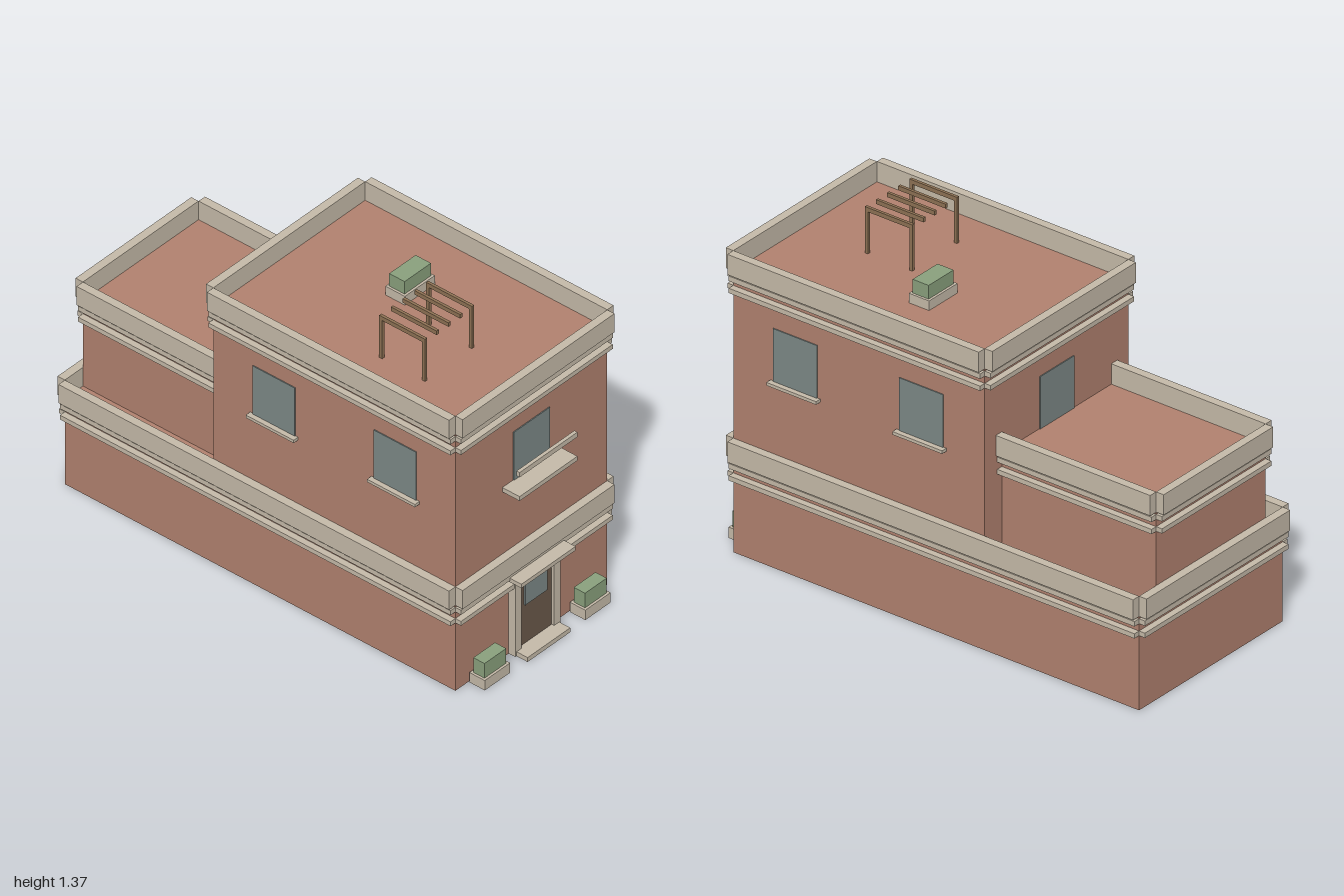
import * as THREE from 'three';

const mat = (color) => new THREE.MeshStandardMaterial({ color, flatShading: true });
const wall = mat(0xb38370);
const trim = mat(0xc7bcaa);
const glass = mat(0x7e8a88);
const doorWood = mat(0x6b5a4b);
const wood = mat(0x8f7355);
const leaf = mat(0x8ba27e);

// Box given by its limits along each axis
function box(parent, name, material, [x0, x1], [y0, y1], [z0, z1]) {
  const mesh = new THREE.Mesh(new THREE.BoxGeometry(x1 - x0, y1 - y0, z1 - z0), material);
  mesh.position.set((x0 + x1) / 2, (y0 + y1) / 2, (z0 + z1) / 2);
  mesh.name = name;
  parent.add(mesh);
  return mesh;
}

// Strips set against the outside of a block, leaving a notch at every corner
function ring(parent, name, hw, [z0, z1], ys, out, hasFront) {
  const g = new THREE.Group();
  g.name = name;
  box(g, name + 'Left', trim, [hw, hw + out], ys, [z0, z1]);
  box(g, name + 'Right', trim, [-hw - out, -hw], ys, [z0, z1]);
  box(g, name + 'Back', trim, [-hw, hw], ys, [z0 - out, z0]);
  if (hasFront) box(g, name + 'Front', trim, [-hw, hw], ys, [z1, z1 + out]);
  parent.add(g);
}

// Wall block with two cornice bands and a parapet round its flat roof
function storey(parent, name, hw, bottom, top, zs, hasFront = true) {
  const g = new THREE.Group();
  g.name = name;
  box(g, 'walls', wall, [-hw, hw], [bottom, top], zs);
  ring(g, 'lowerBand', hw, zs, [top - 0.08, top - 0.06], 0.027, hasFront);
  ring(g, 'upperBand', hw, zs, [top - 0.03, top - 0.009], 0.027, hasFront);
  ring(g, 'parapet', hw, zs, [top, top + 0.085], 0.035, hasFront);
  parent.add(g);
}

// Planter trough with a clipped hedge
function planter(parent, name, [x0, x1], y, [z0, z1], baseHeight, height) {
  const g = new THREE.Group();
  g.name = name;
  box(g, 'trough', trim, [x0, x1], [y, y + baseHeight], [z0, z1]);
  box(g, 'hedge', leaf, [x0 + 0.01, x1 - 0.01], [y + baseHeight, y + height], [z0 + 0.01, z1 - 0.01]);
  parent.add(g);
}

export function createModel() {
  const model = new THREE.Group();
  model.name = 'house';
  const front = 0.915, back = -0.965, mid = -0.25;

  // Three stepped blocks
  storey(model, 'groundFloor', 0.42, 0, 0.391, [back, front]);
  storey(model, 'rearTerrace', 0.32, 0.391, 0.782, [back, mid], false);
  storey(model, 'upperFloors', 0.42, 0.391, 1.173, [mid, front]);

  // Side windows with sills
  for (const s of [-1, 1]) {
    for (const z of [0.627, 0.043]) {
      const span = (a, b) => (s > 0 ? [a, b] : [-b, -a]);
      box(model, 'sideWindow', glass, span(0.415, 0.424), [0.78, 1], [z - 0.102, z + 0.102]);
      box(model, 'sideSill', trim, span(0.42, 0.445), [0.767, 0.78], [z - 0.115, z + 0.115]);
    }
  }

  // Front and back windows, balcony ledge and rail
  box(model, 'frontWindow', glass, [-0.1, 0.1], [0.78, 1], [front - 0.005, front + 0.004]);
  box(model, 'backWindow', glass, [-0.1, 0.1], [0.782, 1], [mid - 0.004, mid + 0.005]);
  box(model, 'balconyLedge', trim, [-0.16, 0.16], [0.76, 0.78], [front, 0.998]);
  box(model, 'balconyRail', trim, [-0.16, 0.16], [0.868, 0.89], [0.983, 0.998]);

  // Entrance
  const entrance = new THREE.Group();
  entrance.name = 'entrance';
  box(entrance, 'door', doorWood, [-0.09, 0.09], [0.02, 0.313], [front, 0.935]);
  box(entrance, 'doorWindow', glass, [-0.062, 0.062], [0.197, 0.288], [0.93, 0.94]);
  for (const x of [-0.1075, 0.1075])
    box(entrance, 'jamb', trim, [x - 0.0175, x + 0.0175], [0, 0.313], [front, 0.947]);
  box(entrance, 'lintel', trim, [-0.125, 0.125], [0.313, 0.355], [front, 0.947]);
  box(entrance, 'canopy', trim, [-0.15, 0.15], [0.355, 0.373], [front, 0.998]);
  box(entrance, 'step', trim, [-0.118, 0.118], [0, 0.02], [front, 1]);
  model.add(entrance);

  // Planters by the door and on the roof
  planter(model, 'leftPlanter', [0.208, 0.348], 0, [0.92, 0.994], 0.045, 0.112);
  planter(model, 'rightPlanter', [-0.348, -0.208], 0, [0.92, 0.994], 0.045, 0.112);
  planter(model, 'roofPlanter', [0.042, 0.208], 1.173, [0.176, 0.27], 0.04, 0.097);

  // Roof pergola: five beams, posts under the outer two
  const pergola = new THREE.Group();
  pergola.name = 'pergola';
  for (let i = 0; i < 5; i++) {
    const x = -0.248 + i * 0.065;
    const xs = [x - 0.006, x + 0.006];
    box(pergola, 'beam', wood, xs, [1.348, 1.366], [0.404, 0.624]);
    if (i % 4 === 0)
      for (const z of [0.411, 0.617])
        box(pergola, 'post', wood, xs, [1.173, 1.348], [z - 0.007, z + 0.007]);
  }
  model.add(pergola);

  return model;
}
